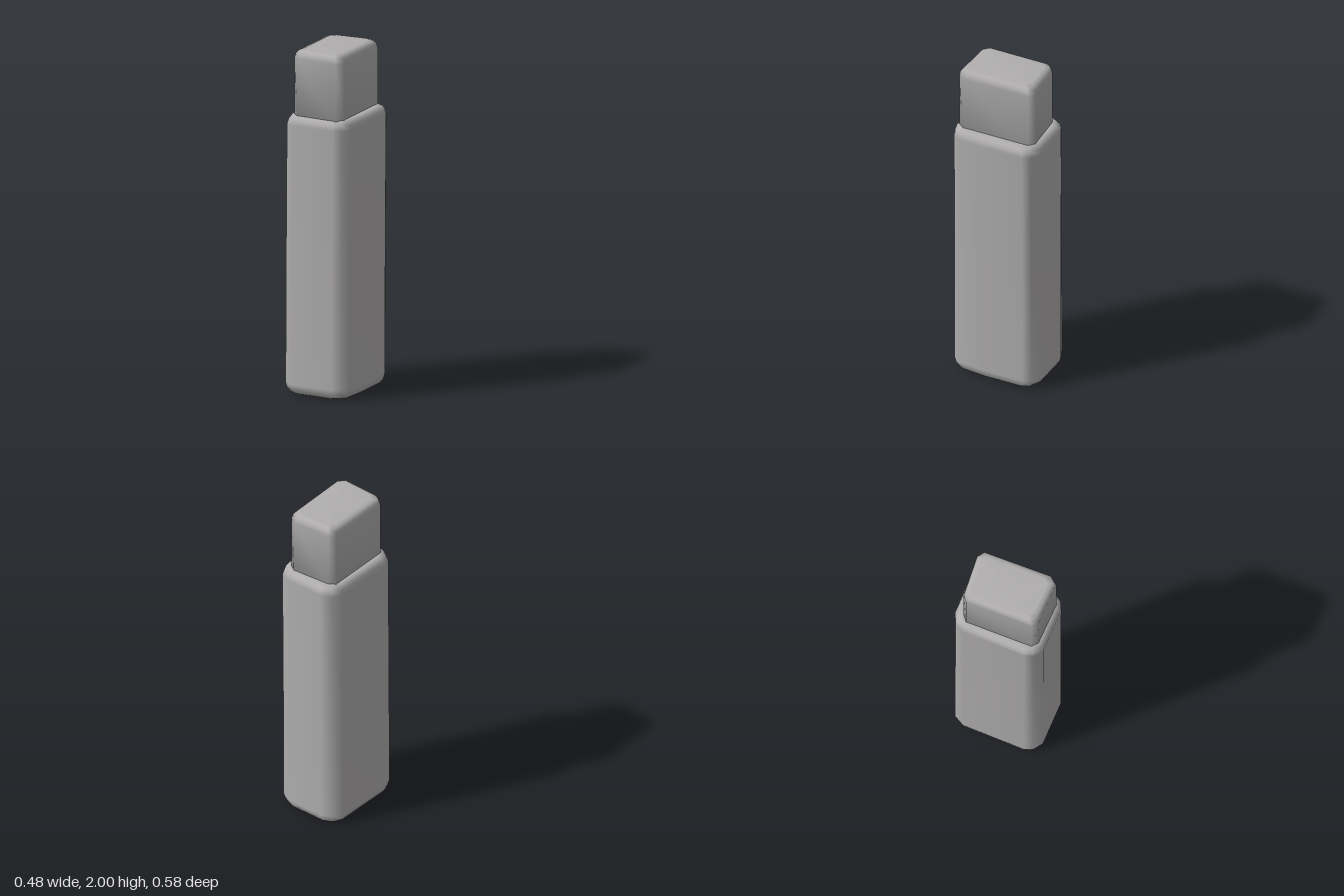
import * as THREE from 'three';

// Outlines as [x, z], clockwise seen from above
const BODY = [[-0.137, -0.272], [-0.073, -0.29], [0.155, -0.258], [0.218, -0.216], [0.234, -0.168],
  [0.203, 0.08], [0.167, 0.235], [0.132, 0.272], [0.08, 0.287], [-0.178, 0.247],
  [-0.224, 0.203], [-0.236, 0.15], [-0.177, -0.22]];
const CAP = [[-0.13, -0.212], [-0.09, -0.235], [0.145, -0.218], [0.182, -0.185],
  [0.13, 0.222], [0.09, 0.257], [-0.153, 0.214], [-0.184, 0.178]];

// Closed solid from one outline; each ring is [height, inset, sideways shift]
function loft(outline, rings) {
  const n = outline.length, pos = [], idx = [];
  const rx = Math.max(...outline.map(p => Math.abs(p[0])));
  const rz = Math.max(...outline.map(p => Math.abs(p[1])));
  for (const [y, inset, dx] of rings) {
    for (const [x, z] of outline) pos.push(x * (1 - inset / rx) + dx, y, z * (1 - inset / rz));
  }
  for (let r = 0; r < rings.length - 1; r++) {
    for (let i = 0; i < n; i++) {
      const a = r * n + i, b = r * n + (i + 1) % n, c = a + n, d = b + n;
      idx.push(a, c, d, a, d, b);
    }
  }
  // end faces
  const last = (rings.length - 1) * n, low = pos.length / 3, high = low + 1;
  pos.push(0, rings[0][0], 0, 0, rings[rings.length - 1][0], 0);
  for (let i = 0; i < n; i++) {
    const j = (i + 1) % n;
    idx.push(low, i, j, high, last + j, last + i);
  }
  const geometry = new THREE.BufferGeometry();
  geometry.setAttribute('position', new THREE.Float32BufferAttribute(pos, 3));
  geometry.setIndex(idx);
  geometry.computeVertexNormals();
  return geometry;
}

export function createModel() {
  const group = new THREE.Group();
  const grey = new THREE.MeshStandardMaterial({ color: 0xb0aeae });
  grey.name = 'warm grey';

  const add = (name, geometry) => {
    const mesh = new THREE.Mesh(geometry, grey);
    mesh.name = name;
    group.add(mesh);
  };

  // Long body with softened ends and a slight lean
  add('body', loft(BODY, [[0, 0.05, -0.004], [0.012, 0.025, -0.004], [0.035, 0.007, -0.004],
    [0.065, 0, -0.004], [0.8, 0, -0.001], [1.57, 0, 0.004], [1.597, 0.008, 0.004],
    [1.615, 0.022, 0.004], [1.625, 0.042, 0.004]]));

  // Narrower block standing on the body
  add('cap', loft(CAP, [[1.6, 0, 0], [1.95, 0, 0], [1.975, 0.006, 0], [1.992, 0.02, 0], [2, 0.045, 0]]));

  return group;
}
